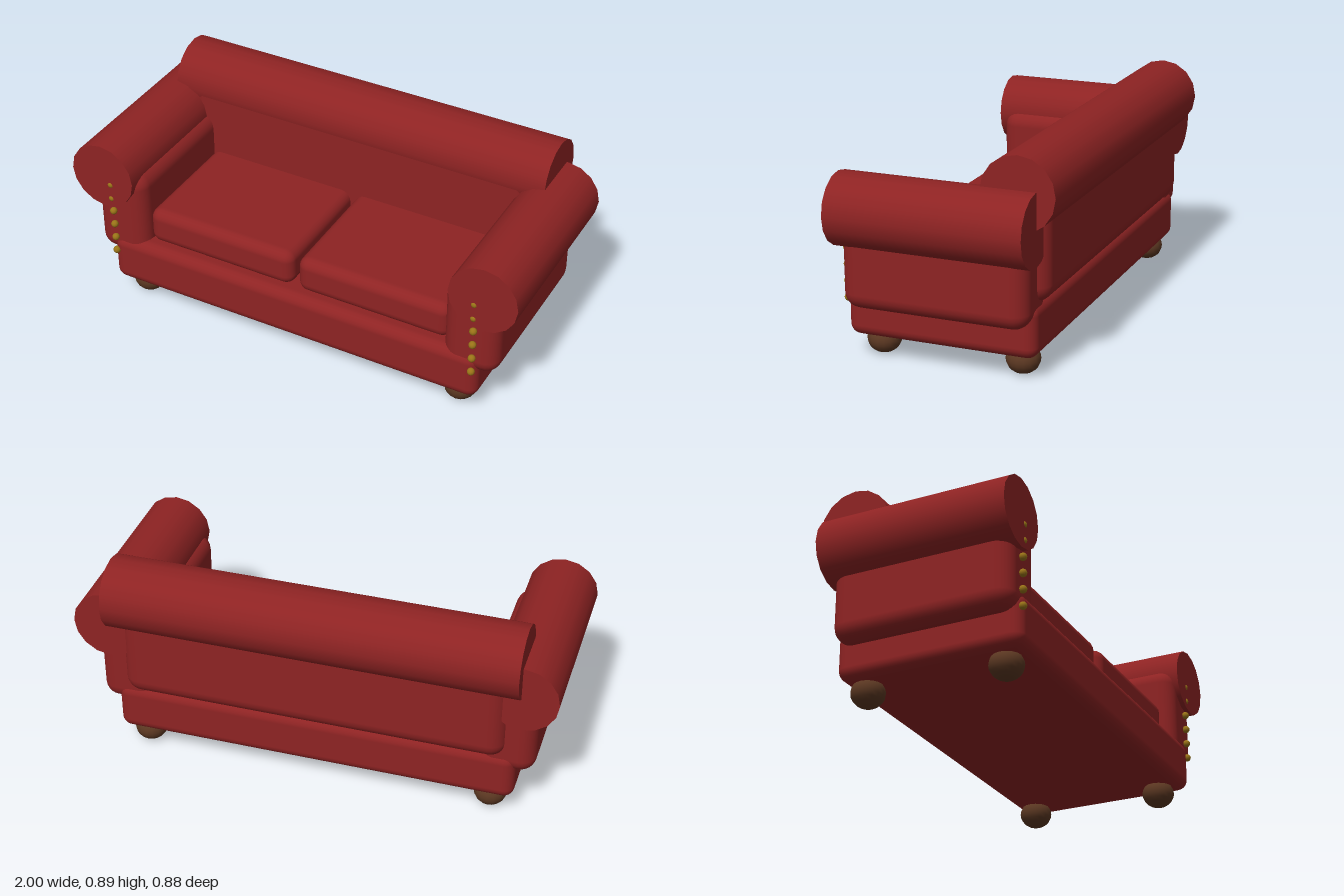
import * as THREE from 'three';
import { RoundedBoxGeometry } from 'three/addons/geometries/RoundedBoxGeometry.js';

export function createModel() {
  const sofa = new THREE.Group();
  sofa.name = 'sofa';

  const material = (name, color) => {
    const m = new THREE.MeshStandardMaterial({ color });
    m.name = name;
    return m;
  };
  const leather = material('red leather', 0x8e2323);
  const wood = material('dark wood', 0x5c3822);
  const brass = material('brass', 0x9a7418);

  const add = (name, geometry, mat, x, y, z) => {
    const mesh = new THREE.Mesh(geometry, mat);
    mesh.name = name;
    mesh.position.set(x, y, z);
    sofa.add(mesh);
    return mesh;
  };

  // Rounded block given by its lower and upper limits on each axis
  const block = (name, [x0, x1], [y0, y1], [z0, z1], radius) =>
    add(name, new RoundedBoxGeometry(x1 - x0, y1 - y0, z1 - z0, 3, radius), leather,
      (x0 + x1) / 2, (y0 + y1) / 2, (z0 + z1) / 2);

  // Seat base and backrest
  block('base', [-0.84, 0.84], [0.09, 0.305], [-0.355, 0.425], 0.045);
  block('backrest', [-0.8, 0.8], [0.295, 0.8], [-0.385, -0.145], 0.07);

  // Padded roll along the top of the back
  const backRoll = new THREE.CylinderGeometry(0.15, 0.15, 1.7, 16).rotateZ(Math.PI / 2);
  add('backRoll', backRoll, leather, 0, 0.737, -0.29);

  const armRoll = new THREE.CylinderGeometry(0.145, 0.145, 0.8, 16).rotateX(Math.PI / 2);
  const foot = new THREE.SphereGeometry(0.068, 16, 12).scale(1, 0.88, 1);
  const stud = new THREE.SphereGeometry(0.016, 10, 8);

  for (const [side, s] of [['left', 1], ['right', -1]]) {
    const span = (a, b) => (s > 0 ? [a, b] : [-b, -a]);

    // Arm with its scroll roll
    block(side + 'Arm', span(0.68, 0.915), [0.22, 0.625], [-0.345, 0.415], 0.065);
    add(side + 'ArmRoll', armRoll, leather, s * 0.855, 0.61, 0.035);

    // Seat cushion
    block(side + 'Cushion', span(0.012, 0.69), [0.29, 0.45], [-0.22, 0.365], 0.045);

    // Row of studs down the arm front
    for (let i = 0; i < 6; i++) add(side + 'Stud', stud, brass, s * 0.82, 0.24 + i * 0.067, 0.425);

    // Bun feet
    for (const z of [0.317, -0.267]) add(side + 'Foot', foot, wood, s * 0.735, 0.06, z);
  }
  return sofa;
}
